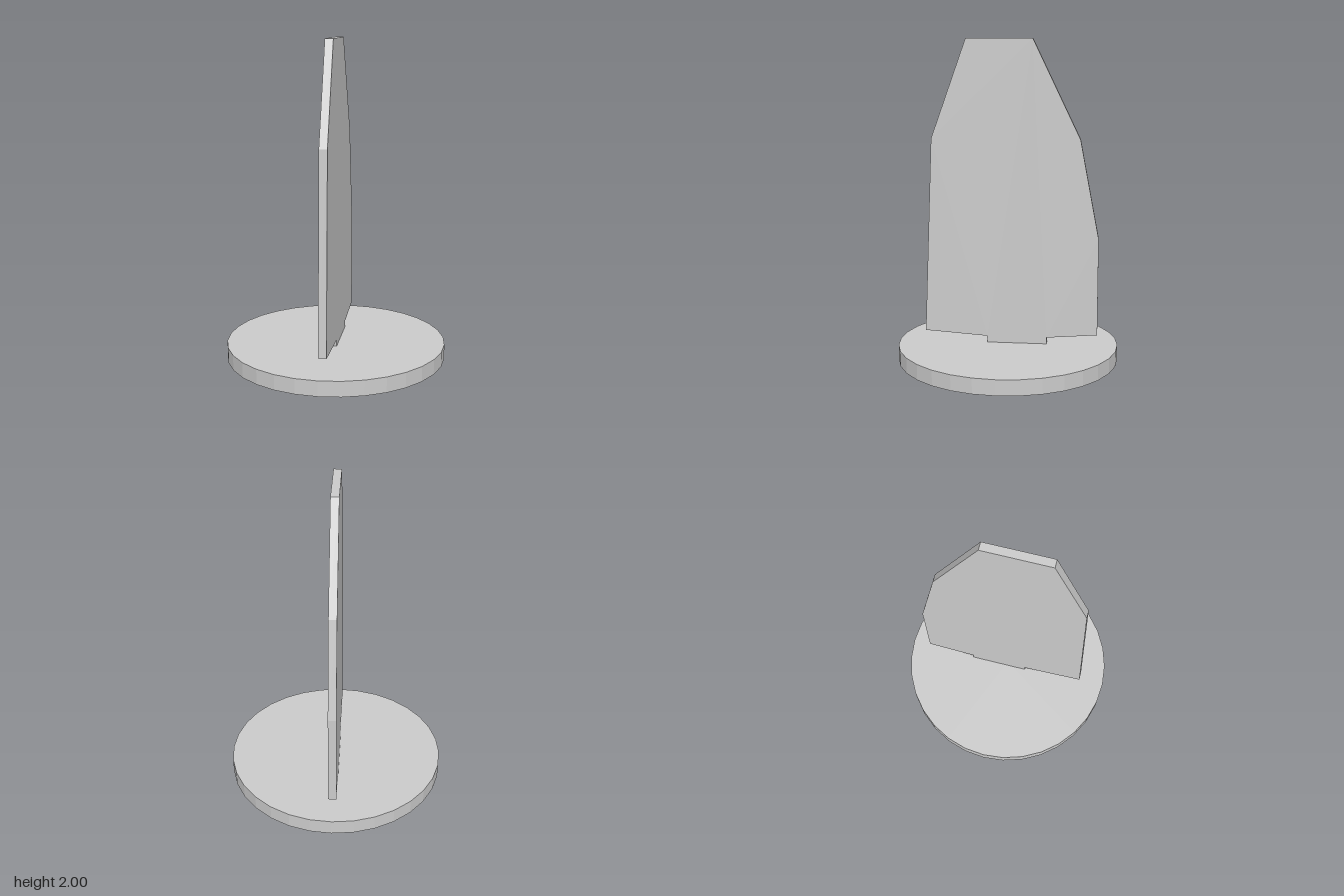
import * as THREE from 'three';

export function createModel() {
  const model = new THREE.Group();
  const material = new THREE.MeshStandardMaterial({ color: 0xcccccc, flatShading: true });

  // Round base disc
  const baseHeight = 0.096, baseRadius = 0.692;
  const disc = new THREE.CylinderGeometry(baseRadius, baseRadius, baseHeight, 32);
  disc.translate(0, baseHeight / 2, 0);
  const base = new THREE.Mesh(disc, material);
  base.name = 'base';
  model.add(base);

  // Upright fin with a short foot, outlined as (z, y)
  const thickness = 0.05;
  const outline = [
    [0.13, baseHeight], [0.13, 0.137], [0.525, 0.163], [0.476, 1.39], [0.257, 2],
    [-0.152, 2], [-0.447, 1.39], [-0.565, 0.775], [-0.565, 0.163], [-0.247, 0.137], [-0.247, baseHeight],
  ];
  const shape = new THREE.Shape(outline.map(([z, y]) => new THREE.Vector2(z, y)));
  const plate = new THREE.ExtrudeGeometry(shape, { depth: thickness, bevelEnabled: false });
  plate.translate(0, 0, -thickness / 2);
  plate.rotateY(-Math.PI / 2);
  const fin = new THREE.Mesh(plate, material);
  fin.name = 'fin';
  model.add(fin);

  return model;
}
